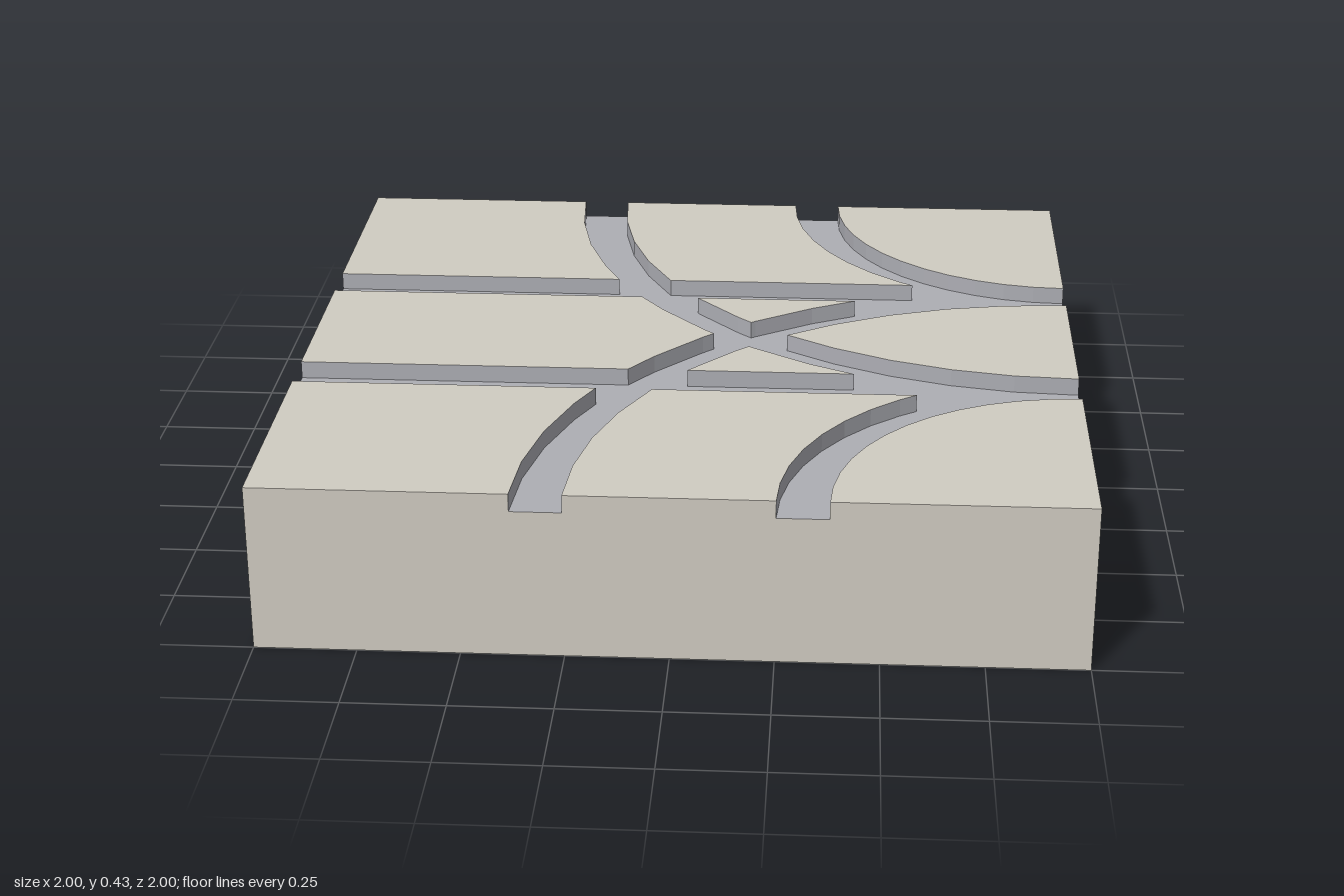
import * as THREE from 'three';

const FLOOR = 0.38, TOP = 0.425;   // groove floor and tile top heights
const IN = 0.25, OUT = 0.375;      // near and far edge of each groove
const STEP = Math.PI / 24;         // facet angle of the curves

// Points on the left half of a circle centred on (1, cy), from y0 to y1
function arc(cy, r, y0, y1) {
  const angle = y => Math.asin(Math.max(-1, Math.min(1, (y - cy) / r)));
  const a0 = angle(y0), a1 = angle(y1), dir = Math.sign(a1 - a0);
  const angles = [a0];
  for (let k = -12; k <= 12; k++) {
    const a = k * dir * STEP;
    if ((a - a0) * dir > 0.01 && (a1 - a) * dir > 0.01) angles.push(a);
  }
  angles.push(a1);
  return angles.map(a => [1 - r * Math.cos(a), cy + r * Math.sin(a)]);
}

// Raised island: plain top and outer faces, groove colour on the inner walls
function island(name, points, materials, flip = 1) {
  const outline = [];
  for (const [x, y] of points) {
    const p = new THREE.Vector2(x, y * flip);
    if (!outline.length || p.distanceTo(outline[outline.length - 1]) > 1e-4) outline.push(p);
  }
  const geo = new THREE.ExtrudeGeometry(new THREE.Shape(outline), { depth: TOP - FLOOR, bevelEnabled: false });
  geo.rotateX(-Math.PI / 2).translate(0, FLOOR, 0);
  const [caps, sides] = geo.groups;
  const pos = geo.attributes.position;
  geo.clearGroups();
  geo.addGroup(caps.start, caps.count, 0);
  for (let i = sides.start; i < sides.start + sides.count; i += 6) {
    const ids = [0, 1, 2, 3, 4, 5].map(j => i + j);
    const outer = [1, -1].some(s =>
      ids.every(j => Math.abs(pos.getX(j) - s) < 1e-4) || ids.every(j => Math.abs(pos.getZ(j) - s) < 1e-4));
    geo.addGroup(i, 6, outer ? 0 : 1);
  }
  const mesh = new THREE.Mesh(geo, materials);
  mesh.name = name;
  return mesh;
}

export function createModel() {
  const model = new THREE.Group();
  model.name = 'trackTile';
  const body = new THREE.MeshStandardMaterial({ color: 0xd0ccc2, flatShading: true });
  const groove = new THREE.MeshStandardMaterial({ color: 0xadaeb4, flatShading: true });
  const materials = [body, groove];

  // Base slab, its top being the groove floor
  const base = new THREE.Mesh(
    new THREE.BoxGeometry(2, FLOOR, 2).translate(0, FLOOR / 2, 0),
    [body, body, groove, body, body, body]);
  base.name = 'baseSlab';
  model.add(base);

  // Islands repeated on the back and front halves
  const wide = 1 + OUT, narrow = 1 + IN;
  const cross = (wide * wide - narrow * narrow) / 4;
  const paired = {
    CornerIsland: [[-1, OUT], [-1, 1], ...arc(1, wide, 1, OUT)],
    MiddleIsland: [...arc(1, narrow, 1, OUT), ...arc(1, 1 - IN, OUT, 1)],
    QuarterDisc: [[1, 1], ...arc(1, 1 - OUT, 1, OUT)],
    CrossingWedge: [...arc(1, narrow, IN, cross), ...arc(-1, wide, cross, IN)],
  };
  for (const [name, points] of Object.entries(paired)) {
    model.add(island('back' + name, points, materials, 1));
    model.add(island('front' + name, points, materials, -1));
  }

  // Islands between the two straight grooves
  model.add(island('rightCentreIsland',
    [[-1, -IN], [-1, IN], ...arc(1, wide, IN, 0), ...arc(-1, wide, 0, -IN)], materials));
  model.add(island('leftCentreIsland',
    [...arc(-1, narrow, IN, 0), ...arc(1, narrow, 0, -IN)], materials));
  return model;
}
